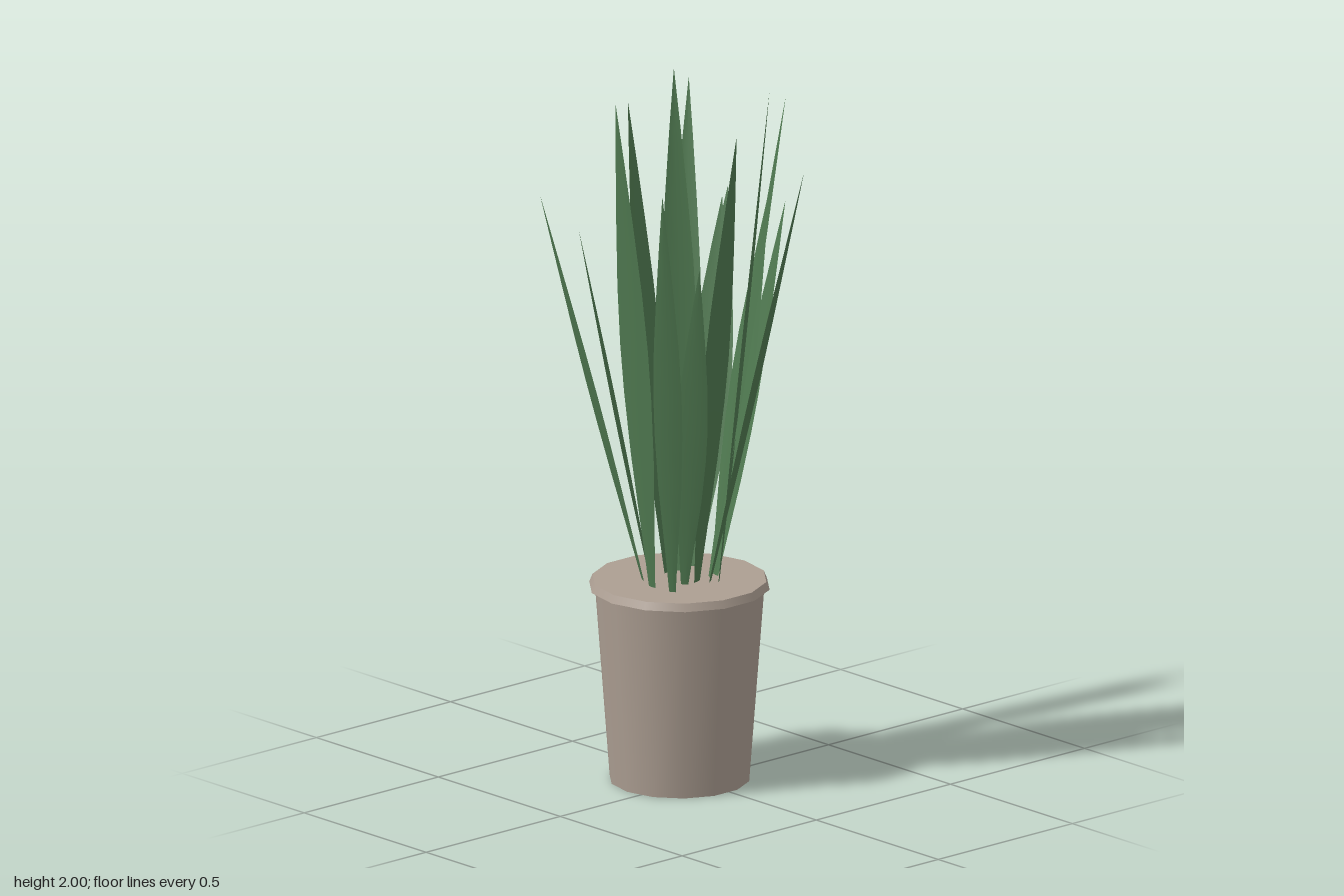
import * as THREE from 'three';

const leafGreen = new THREE.MeshStandardMaterial({ color: 0x507a51, side: THREE.DoubleSide });
leafGreen.name = 'leaf green';
const clay = new THREE.MeshStandardMaterial({ color: 0xac9e92 });
clay.name = 'clay';

// Blade outline: [fraction of length, fraction of half width]
const OUTLINE = [[0, 0.22], [0.12, 0.48], [0.27, 0.82], [0.4, 0.98], [0.5, 1], [0.62, 0.88], [0.75, 0.62], [0.88, 0.32], [1, 0.01]];

// Each blade: base x, z; tip x, y, z; half-width direction x, z
const BLADES = [
  [-0.095, -0.035, -0.32, 1.90, -0.27, 0.035, -0.03],
  [-0.10, -0.09, -0.215, 1.60, -0.32, 0.052, -0.03],
  [-0.10, -0.09, -0.20, 1.58, -0.285, 0.05, -0.03],
  [-0.10, -0.05, -0.26, 1.96, -0.16, 0.03, -0.04],
  [-0.105, 0.005, -0.305, 1.88, -0.03, 0.005, 0.048],
  [-0.11, 0.065, -0.275, 1.56, 0.18, 0.052, 0.05],
  [-0.105, 0.095, -0.28, 1.69, 0.32, 0.062, 0.035],
  [-0.035, 0.125, -0.02, 2.00, 0.275, 0.057, 0],
  [0.037, 0.115, 0.155, 1.77, 0.26, 0.036, -0.02],
  [0.007, 0.043, 0.175, 1.54, 0.14, 0.038, -0.024],
  [0.01, 0, 0.145, 1.88, -0.025, 0.018, 0.062],
  [0.045, -0.05, 0.143, 1.99, -0.15, 0.045, 0.05],
  [0.005, -0.05, 0.145, 1.96, -0.208, 0.06, 0.042],
  [0, -0.08, 0.07, 1.63, -0.275, 0.056, 0.022],
  [-0.01, -0.08, 0.025, 1.66, -0.257, 0.065, 0.02],
  [0.03, -0.03, 0.32, 1.80, -0.117, 0.035, 0.05],
];

// Slightly cupped blade, three points across at each station
function bladeGeometry([bx, bz, tx, ty, tz, wx, wz]) {
  const base = new THREE.Vector3(bx, 0.57, bz);
  const tip = new THREE.Vector3(tx, ty, tz);
  const side = new THREE.Vector3(wx, 0, wz);
  const outward = new THREE.Vector3(tx - bx, 0, tz - bz).normalize();
  const points = [];
  const index = [];
  OUTLINE.forEach(([t, w], row) => {
    for (let k = -1; k <= 1; k++) {
      const p = base.clone().lerp(tip, t).addScaledVector(side, k * w);
      p.addScaledVector(outward, 0.006 * w * (1 - Math.abs(k)));
      points.push(p);
    }
    if (row === 0) return;
    for (let k = 0; k < 2; k++) {
      const a = (row - 1) * 3 + k;
      index.push(a, a + 1, a + 3, a + 1, a + 4, a + 3);
    }
  });
  const g = new THREE.BufferGeometry().setFromPoints(points);
  g.setIndex(index);
  g.computeVertexNormals();
  return g;
}

export function createModel() {
  const model = new THREE.Group();
  model.name = 'pottedPlant';

  // Tapered pot and its closed flared rim
  const pot = new THREE.Group();
  pot.name = 'pot';
  pot.position.set(-0.047, 0, 0.013);
  const addRing = (name, top, bottom, y0, y1) => {
    const m = new THREE.Mesh(new THREE.CylinderGeometry(top, bottom, y1 - y0, 14), clay);
    m.name = name;
    m.position.y = (y0 + y1) / 2;
    pot.add(m);
  };
  addRing('potBody', 0.237, 0.195, 0, 0.557);
  addRing('potRim', 0.243, 0.252, 0.555, 0.577);
  model.add(pot);

  // Leaning blades
  const leaves = new THREE.Group();
  leaves.name = 'leaves';
  BLADES.forEach((blade, i) => {
    const leaf = new THREE.Mesh(bladeGeometry(blade), leafGreen);
    leaf.name = `leaf${i + 1}`;
    leaves.add(leaf);
  });
  model.add(leaves);
  return model;
}
